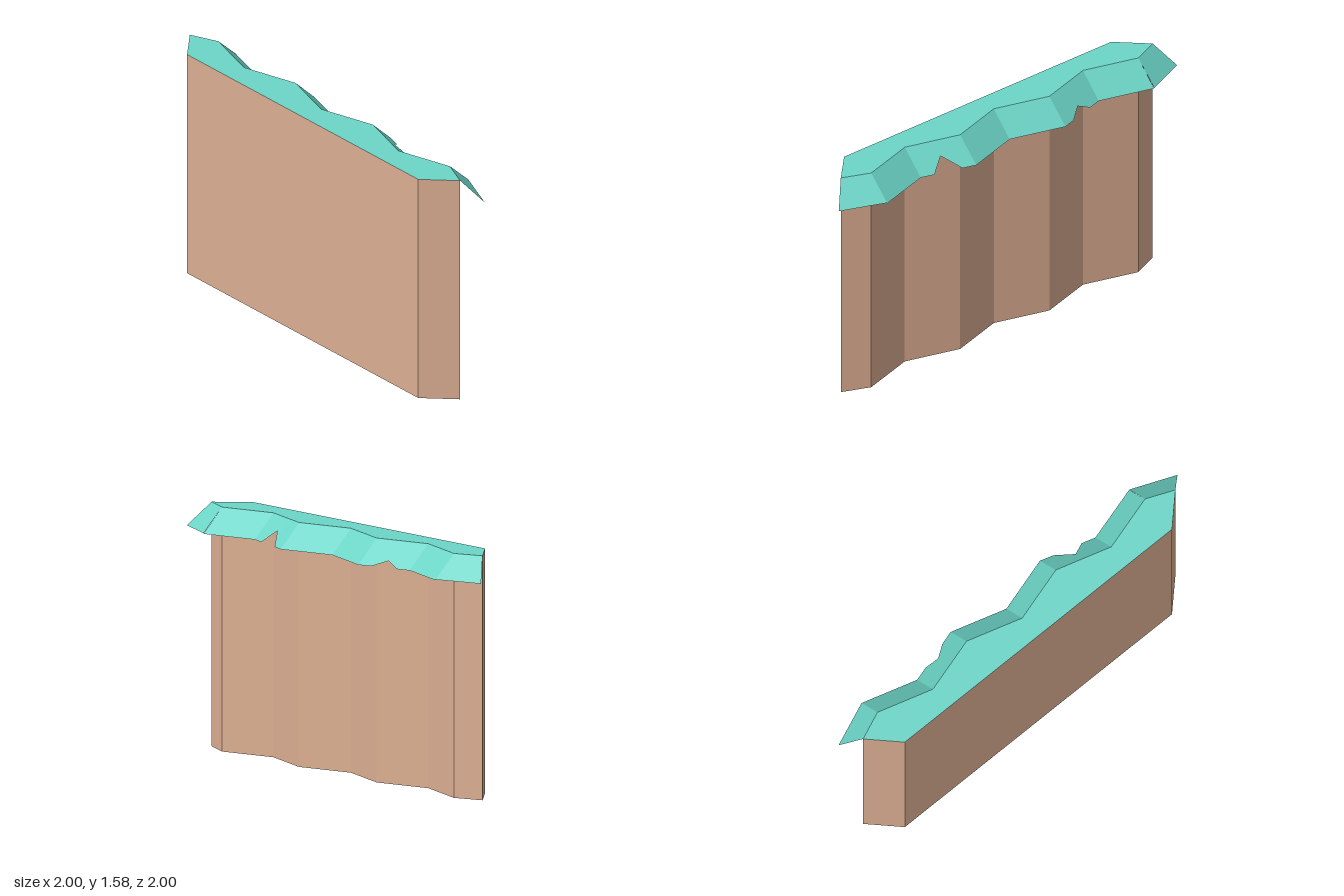
import * as THREE from 'three';

const TOP = 1.58;
const LIP = 1.425;

// Ground-plan corners as [x, z]: the zigzag cliff edge
const EDGE = [
  [-1, -0.843], [-0.813, -0.767], [-0.628, -0.428], [-0.287, -0.241], [-0.102, 0.099],
  [0.24, 0.286], [0.425, 0.625], [0.765, 0.812], [0.842, 1],
];
// Lower corners of the overhang, one per edge corner
const HEM = [
  [-1, -1], [-0.702, -0.877], [-0.517, -0.538], [-0.177, -0.352], [0.009, -0.011],
  [0.35, 0.175], [0.535, 0.514], [0.875, 0.702], [1, 1],
];
// Ragged notches torn into two of the overhang panels
const NOTCHES = {
  2: [[-0.43, -0.49], [-0.375, -0.415], [-0.262, -0.398]],
  5: [[0.394, 0.258], [0.385, 0.4], [0.49, 0.43]],
};

// Plan shape drawn with -z as its second axis, so rotating it lays it flat
const planShape = (points) => new THREE.Shape(points.map(([x, z]) => new THREE.Vector2(x, -z)));

// Sloping panel hanging from one straight stretch of the cliff edge
function overhangPanel(i) {
  const [a, b] = [EDGE[i], EDGE[i + 1]];
  const outer = [HEM[i], ...(NOTCHES[i] || []), HEM[i + 1]].reverse();
  const geo = new THREE.ShapeGeometry(planShape([a, b, ...outer]));
  geo.rotateX(-Math.PI / 2);
  const dx = b[0] - a[0], dz = b[1] - a[1], len = Math.hypot(dx, dz);
  const pos = geo.attributes.position;
  for (let k = 0; k < pos.count; k++) {
    // drop in proportion to the distance from the edge
    const d = ((pos.getX(k) - a[0]) * dz - (pos.getZ(k) - a[1]) * dx) / len;
    pos.setY(k, Math.max(LIP, TOP - d * 1.05));
  }
  geo.computeVertexNormals();
  return geo;
}

export function createModel() {
  const earth = new THREE.MeshStandardMaterial({ color: 0xdcae92 });
  earth.name = 'earth';
  const grass = new THREE.MeshStandardMaterial({ color: 0x6dd6c8, side: THREE.DoubleSide });
  grass.name = 'grass';

  const model = new THREE.Group();
  model.name = 'cliffCorner';

  // Cliff block: earth walls and base, grass top
  const geo = new THREE.ExtrudeGeometry(planShape([...EDGE, [0.575, 1], [-1, -0.577]]), {
    depth: TOP, bevelEnabled: false,
  });
  geo.rotateX(-Math.PI / 2);
  const [caps, sides] = geo.groups.map((g) => g.count);
  geo.clearGroups();
  geo.addGroup(0, caps / 2, 0);
  geo.addGroup(caps / 2, caps / 2, 1);
  geo.addGroup(caps, sides, 0);
  const block = new THREE.Mesh(geo, [earth, grass]);
  block.name = 'cliffBlock';
  model.add(block);

  // Grass overhang along the cliff edge
  const overhang = new THREE.Group();
  overhang.name = 'grassOverhang';
  for (let i = 0; i < EDGE.length - 1; i++) {
    const panel = new THREE.Mesh(overhangPanel(i), grass);
    panel.name = `overhangPanel${i + 1}`;
    overhang.add(panel);
  }
  model.add(overhang);
  return model;
}
